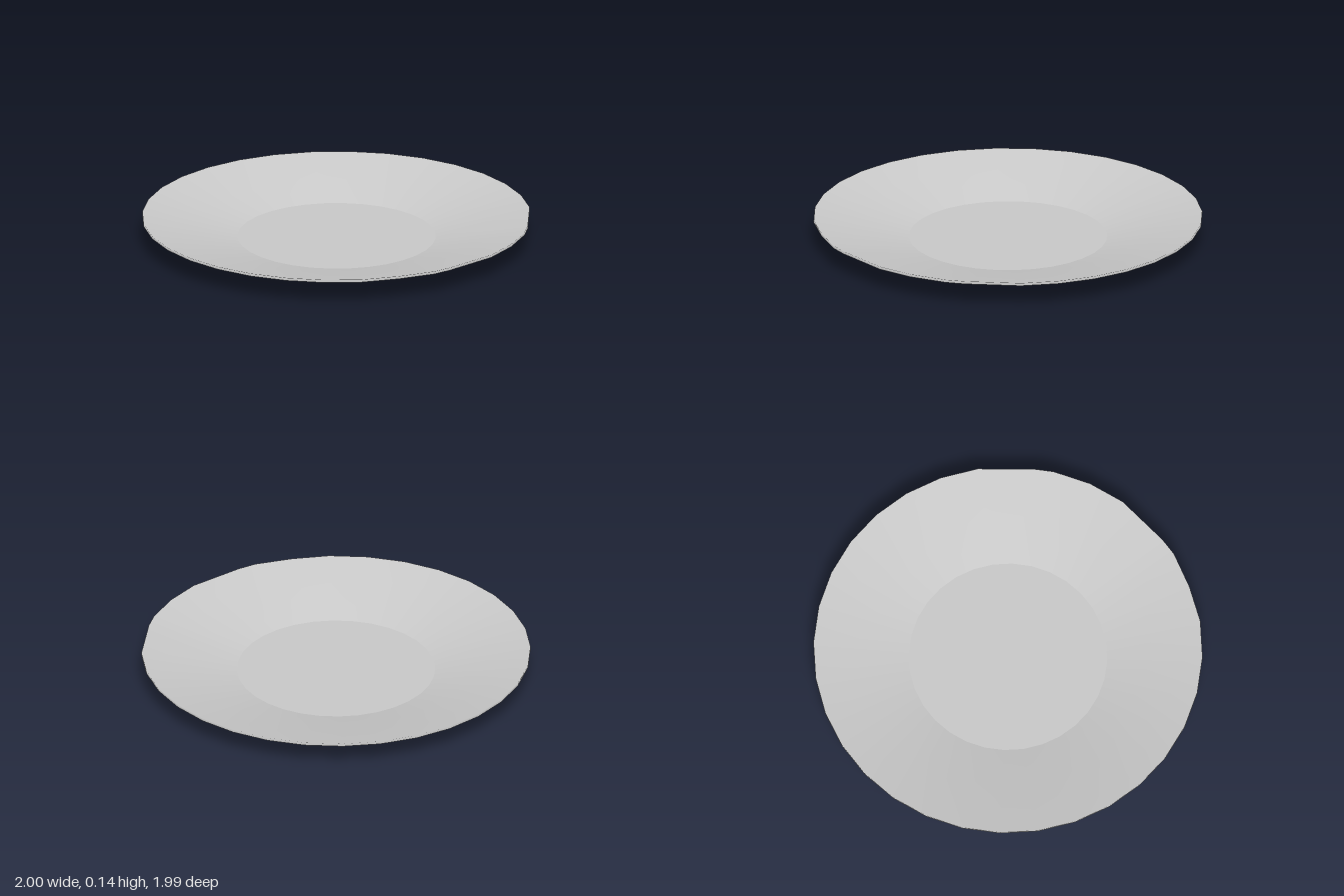
import * as THREE from 'three';

const SIDES = 32;
const BASE_R = 0.63, FLOOR_R = 0.51, FLOOR_Y = 0.025, RIM_LOW = 0.12, RIM_TOP = 0.135;

// Lathe wall whose rim is slightly worn on the front left
function wall(profile) {
  const geometry = new THREE.LatheGeometry(profile.map(([r, y]) => new THREE.Vector2(r, y)), SIDES);
  const pos = geometry.attributes.position;
  const n = profile.length;
  profile.forEach(([r], j) => {
    if (r < 0.99) return;
    // Worn rim corners slide to the middle of the next rim edge
    for (const i of [2, 6]) {
      const a = i * n + j, b = a - n;
      pos.setX(a, (pos.getX(a) + pos.getX(b)) / 2);
      pos.setZ(a, (pos.getZ(a) + pos.getZ(b)) / 2);
    }
    // Front corner is a little flattened, on both sides of the seam
    for (const i of [0, SIDES]) pos.setZ(i * n + j, 0.993);
  });
  return geometry;
}

// Flat disc facing up (1) or down (-1)
function disc(radius, y, facing) {
  return new THREE.CircleGeometry(radius, SIDES).rotateX(-facing * Math.PI / 2).translate(0, y, 0);
}

export function createModel() {
  const group = new THREE.Group();
  group.name = 'plate';
  const material = new THREE.MeshStandardMaterial({ color: 0xcccccc });
  const add = (name, geometry) => {
    const mesh = new THREE.Mesh(geometry, material);
    mesh.name = name;
    group.add(mesh);
  };

  add('base', disc(BASE_R, 0, -1));
  add('outerWall', wall([[BASE_R, 0], [1, RIM_LOW]]));
  // Rim band and sloping inside share smooth normals
  add('rimAndInnerSlope', wall([[1, RIM_LOW], [1, RIM_TOP], [FLOOR_R, FLOOR_Y]]));
  add('floor', disc(FLOOR_R, FLOOR_Y, 1));
  return group;
}
